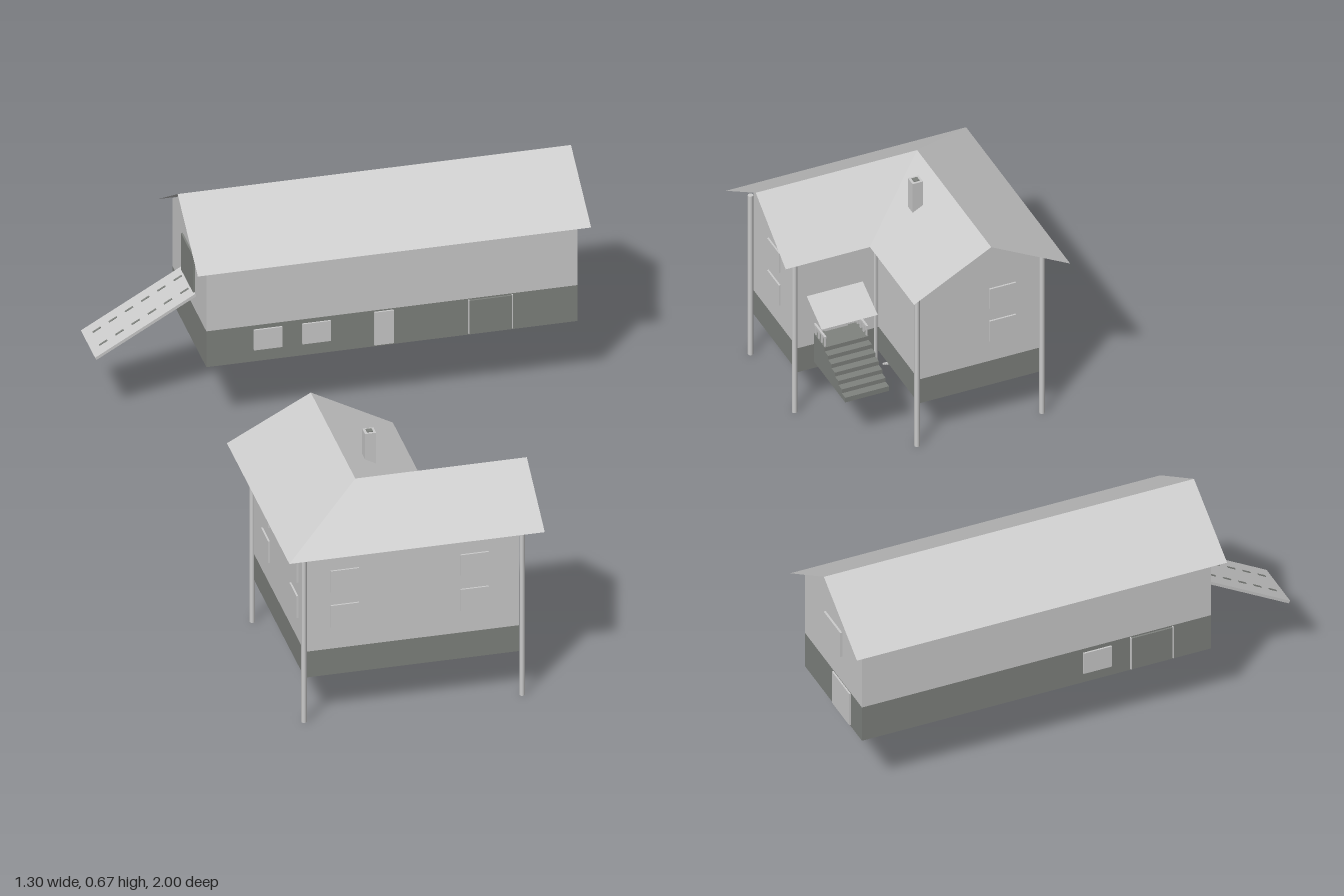
import * as THREE from 'three';

const mat = (name, color, side = THREE.FrontSide) => {
  const m = new THREE.MeshStandardMaterial({ color, side });
  m.name = name;
  return m;
};

export function createModel() {
  const light = mat('light timber', 0xcccccc);
  const dark = mat('dark base', 0x80837f);
  const sheetMat = mat('roof sheet', 0xcdcdcd, THREE.DoubleSide);
  const root = new THREE.Group();
  const house = new THREE.Group(), barn = new THREE.Group();
  house.name = 'stiltHouse';
  barn.name = 'barn';
  root.add(house, barn);

  const add = (group, name, geo, material) => {
    const m = new THREE.Mesh(geo, material);
    m.name = name;
    group.add(m);
    return m;
  };
  // box from its limits on each axis
  const box = (group, name, material, x0, x1, y0, y1, z0, z1) => {
    const m = add(group, name, new THREE.BoxGeometry(x1 - x0, y1 - y0, z1 - z0), material);
    m.position.set((x0 + x1) / 2, (y0 + y1) / 2, (z0 + z1) / 2);
    return m;
  };
  const extrude = (pts, depth) => new THREE.ExtrudeGeometry(
    new THREE.Shape(pts.map(p => new THREE.Vector2(...p))), { depth, bevelEnabled: false });
  // plan outline (x, z) raised from y0 to y1
  const plan = (pts, y0, y1) => extrude(pts, y1 - y0).rotateX(Math.PI / 2).translate(0, y1, 0);
  // side outline (z, y) extended from x0 to x1
  const side = (pts, x0, x1) => extrude(pts, x1 - x0).rotateY(-Math.PI / 2).translate(x1, 0, 0);
  // flat convex sheet from its corners
  const sheet = (group, name, pts) => {
    const pos = [];
    for (let i = 1; i < pts.length - 1; i++) pos.push(...pts[0], ...pts[i], ...pts[i + 1]);
    const g = new THREE.BufferGeometry();
    g.setAttribute('position', new THREE.Float32BufferAttribute(pos, 3));
    g.computeVertexNormals();
    return add(group, name, g, sheetMat);
  };
  const T = 0.004; // projection of thin plates
  const plateZ = (g, n, m, z, x0, x1, y0, y1) => box(g, n, m, x0, x1, y0, y1, z - T, z + T);
  const plateX = (g, n, m, x, z0, z1, y0, y1) => box(g, n, m, x - T, x + T, y0, y1, z0, z1);

  // L-shaped house: dark base and light walls
  const L = [[-0.51, 0.41], [-0.165, 0.41], [-0.165, 0.665], [0.065, 0.665], [0.065, 0.945], [-0.51, 0.945]];
  add(house, 'houseBase', plan(L, 0.133, 0.21), dark);
  add(house, 'houseWalls', plan(L, 0.21, 0.533), light);
  add(house, 'rightGable', side([[0.665, 0.533], [0.945, 0.533], [0.807, 0.625]], 0.055, 0.065), light);
  add(house, 'backGable', extrude([[-0.51, 0.533], [-0.165, 0.533], [-0.34, 0.625]], 0.01).translate(0, 0, 0.41), light);

  // house roof with one hip and one valley
  const P = [-0.34, 0.63, 0.81], hip = [-0.565, 0.51, 1], valley = [-0.12, 0.51, 0.62];
  const endA = [0.12, 0.63, 0.81], endB = [-0.34, 0.63, 0.34];
  sheet(house, 'roofFront', [hip, [0.12, 0.51, 1], endA, P]);
  sheet(house, 'roofInnerBack', [P, endA, [0.12, 0.51, 0.62], valley]);
  sheet(house, 'roofInnerSide', [P, valley, [-0.12, 0.51, 0.34], endB]);
  sheet(house, 'roofOuterSide', [hip, P, endB, [-0.565, 0.51, 0.34]]);
  box(house, 'chimney', light, -0.275, -0.245, 0.575, 0.67, 0.627, 0.657);
  box(house, 'chimneyFlue', dark, -0.268, -0.252, 0.668, 0.672, 0.634, 0.65);

  // stilts at every corner
  for (const [x, z] of [[-0.513, 0.95], [0.072, 0.95], [0.072, 0.67], [-0.157, 0.67], [-0.157, 0.403], [-0.513, 0.403]])
    add(house, 'stilt', new THREE.CylinderGeometry(0.0075, 0.0075, 0.51, 10), light).position.set(x, 0.26, z);

  // two rows of house windows
  for (const [y0, y1] of [[0.275, 0.34], [0.38, 0.443]]) {
    for (const x of [-0.403, -0.055]) plateZ(house, 'frontWindow', light, 0.946, x - 0.038, x + 0.038, y0, y1);
    for (const z of [0.54, 0.84]) plateX(house, 'sideWindow', light, -0.511, z - 0.038, z + 0.038, y0, y1);
    plateX(house, 'gableWindow', light, 0.066, 0.775, 0.85, y0, y1);
    plateZ(house, 'backWindow', light, 0.409, -0.44, -0.365, y0, y1);
  }

  // porch: landing with steps, canopy, door and railings
  const steps = [[0.664, 0.155], [0.664, 0.245], [0.595, 0.245]];
  const n = 6;
  for (let i = 0; i < n; i++) {
    const z = 0.595 - i * 0.0217, y = 0.245 - (i + 1) * 0.0125;
    steps.push([z, y], [z - 0.0217, y]);
  }
  steps.push([0.465, 0.155]);
  add(house, 'entranceSteps', side(steps, -0.105, 0.02), dark);
  sheet(house, 'porchCanopy', [[-0.12, 0.37, 0.666], [0.04, 0.37, 0.666], [0.04, 0.325, 0.57], [-0.12, 0.325, 0.57]]);
  plateZ(house, 'houseDoor', light, 0.664, -0.075, -0.01, 0.245, 0.345);
  for (const x of [-0.102, 0.017]) {
    box(house, 'porchRail', light, x - 0.003, x + 0.003, 0.271, 0.277, 0.597, 0.664);
    for (let i = 0; i < 4; i++) {
      const z = 0.6 + i * 0.019;
      box(house, 'porchBaluster', light, x - 0.002, x + 0.002, 0.245, 0.272, z - 0.002, z + 0.002);
    }
  }

  // small ladder below the floor
  sheet(house, 'underfloorRamp', [[-0.245, 0.134, 0.6], [-0.165, 0.134, 0.6], [-0.165, 0.1, 0.65], [-0.245, 0.1, 0.65]]);
  for (let i = 1; i < 4; i++) {
    const z = 0.6 + i * 0.0125, y = 0.134 - i * 0.0085;
    box(house, 'underfloorCleat', light, -0.245, -0.165, y - 0.002, y + 0.002, z - 0.002, z + 0.002);
  }

  // barn body and roof
  box(barn, 'barnBase', dark, -0.38, 0.615, 0.195, 0.302, -0.965, -0.605);
  add(barn, 'barnWalls', side([[-0.965, 0.302], [-0.605, 0.302], [-0.605, 0.498], [-0.79, 0.611], [-0.965, 0.503]], -0.38, 0.615), light);
  for (const z of [-0.577, -1])
    sheet(barn, 'barnRoof', [[-0.41, 0.485, z], [0.645, 0.485, z], [0.645, 0.615, -0.79], [-0.41, 0.615, -0.79]]);

  // barn front openings
  for (const x of [-0.215, -0.085]) plateZ(barn, 'barnFrontWindow', light, -0.604, x - 0.038, x + 0.038, 0.23, 0.29);
  plateZ(barn, 'barnFrontDoor', light, -0.604, 0.07, 0.122, 0.2, 0.298);
  plateZ(barn, 'barnWideDoor', dark, -0.604, 0.325, 0.44, 0.2, 0.298);
  for (const x of [0.323, 0.44]) plateZ(barn, 'doorJamb', light, -0.603, x - 0.0015, x + 0.0015, 0.2, 0.3);

  // barn back and end openings
  plateZ(barn, 'barnBackWindow', light, -0.966, -0.095, -0.015, 0.225, 0.29);
  plateZ(barn, 'barnBackDoor', dark, -0.966, -0.27, -0.15, 0.2, 0.298);
  for (const x of [-0.27, -0.15]) plateZ(barn, 'backDoorJamb', light, -0.967, x - 0.0015, x + 0.0015, 0.2, 0.3);
  plateX(barn, 'barnEndWindow', light, 0.617, -0.84, -0.735, 0.383, 0.46);
  plateX(barn, 'barnEndDoor', light, 0.616, -0.895, -0.785, 0.2, 0.3);
  plateX(barn, 'loftOpening', dark, -0.381, -0.855, -0.725, 0.352, 0.46);

  // sloping loft ramp with two rows of treads
  const ramp = new THREE.Group();
  ramp.name = 'loftRamp';
  ramp.position.set(-0.514, 0.274, -0.79);
  ramp.rotation.z = Math.atan2(0.153, 0.268);
  barn.add(ramp);
  box(ramp, 'rampDeck', light, -0.155, 0.155, -0.004, 0.004, -0.075, 0.075);
  for (const z of [-0.035, 0.035])
    for (let i = 0; i < 6; i++) {
      const x = -0.13 + i * 0.05;
      box(ramp, 'rampTread', dark, x, x + 0.025, 0.003, 0.0055, z - 0.003, z + 0.003);
    }
  return root;
}
